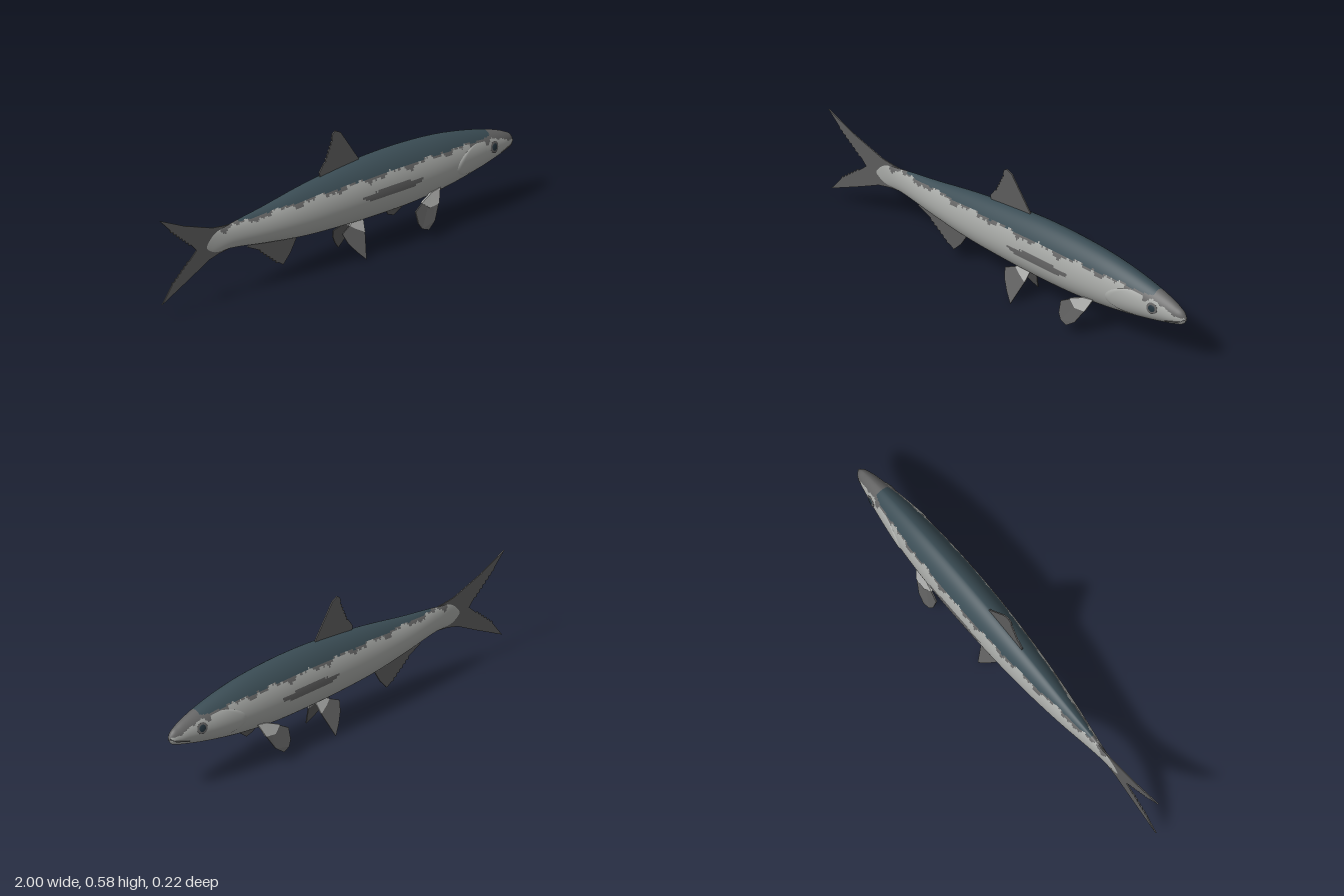
import * as THREE from 'three';

const mat = (name, color, side = THREE.FrontSide) => {
  const m = new THREE.MeshStandardMaterial({ color, side });
  m.name = name;
  return m;
};

// Body stations along x: back height, belly height, half width
const STATIONS = [
  [-0.74, 0.285, 0.25, 0.002], [-0.7, 0.318, 0.232, 0.005], [-0.6, 0.338, 0.227, 0.02],
  [-0.4, 0.363, 0.196, 0.05], [-0.2, 0.393, 0.168, 0.072], [0, 0.415, 0.154, 0.086],
  [0.2, 0.427, 0.147, 0.093], [0.4, 0.424, 0.147, 0.093], [0.6, 0.406, 0.163, 0.084],
  [0.8, 0.366, 0.195, 0.062], [0.9, 0.336, 0.217, 0.043], [0.95, 0.315, 0.23, 0.031],
  [0.985, 0.293, 0.245, 0.016], [1, 0.267, 0.267, 0],
];
const profile = new THREE.CubicInterpolant(
  STATIONS.map((s) => s[0]), STATIONS.flatMap((s) => s.slice(1)), 3, new Float32Array(3));

// Point on the body skin; angle 0 is the model's front flank, PI/2 the back ridge
function skin(x, a, puff = 0) {
  const [top, bottom, width] = profile.evaluate(x);
  const mid = bottom + 0.48 * (top - bottom);
  const s = Math.sin(a), c = Math.cos(a);
  const y = mid + s * (s > 0 ? top - mid : mid - bottom);
  const z = Math.sign(c) * Math.pow(Math.abs(c), 1.2) * (width + puff);
  return new THREE.Vector3(x, y, z);
}

// Skin point at a given height on the +z flank
function skinAt(x, y, puff = 0) {
  const [top, bottom] = profile.evaluate(x);
  const mid = bottom + 0.48 * (top - bottom);
  const s = (y - mid) / (y > mid ? top - mid : mid - bottom);
  return skin(x, Math.asin(THREE.MathUtils.clamp(s, -1, 1)), puff);
}

// Colour zones: 0 silver, 1 slate back, 2 grey mottling
function zone(x, y) {
  const n = 0.004 * Math.sin(31 * x) + 0.003 * Math.sin(83 * x + 1) + 0.002 * Math.sin(190 * x);
  const backLine = 0.361 - 0.075 * (x - 0.3) ** 2 * (x > 0.3 ? 1.2 : 0.45) + n * 0.5;
  if (x > 0.84) return y > 0.322 - (x - 0.84) * 0.3 + n || x > 0.992 ? 2 : 0;
  if (x > -0.56 && y > backLine) return 1;
  const band = x > 0.7 ? 0.025 : 0.009;
  if (x > -0.66 && y > backLine - band + n * 1.6) return 2;
  const t = (x - 0.245) / 0.17;
  if (Math.abs(t) < 1 && Math.abs(y - 0.281 - n * 0.5) < 0.02 * Math.sqrt(1 - t * t)) return 2;
  return 0;
}

function bodyGeometry() {
  const rings = 230, sides = 88, pos = [], faces = [[], [], []];
  for (let i = 0; i <= rings; i++) {
    const t = i / rings;
    const x = -0.74 + 1.74 * (t + 0.12 * t * (1 - t) + 0.03 * Math.sin(Math.PI * t));
    for (let j = 0; j < sides; j++) pos.push(...skin(Math.min(x, 1), (j / sides) * Math.PI * 2).toArray());
  }
  for (let i = 0; i < rings; i++) {
    for (let j = 0; j < sides; j++) {
      const k = (j + 1) % sides;
      const a = i * sides + j, b = a + sides, c = (i + 1) * sides + k, d = i * sides + k;
      const x = (pos[a * 3] + pos[c * 3]) / 2, y = (pos[a * 3 + 1] + pos[c * 3 + 1]) / 2;
      faces[zone(x, y)].push(a, b, c, a, c, d);
    }
  }
  const g = new THREE.BufferGeometry();
  g.setAttribute('position', new THREE.Float32BufferAttribute(pos, 3));
  g.setIndex(faces.flat());
  let start = 0;
  faces.forEach((f, m) => { g.addGroup(start, f.length, m); start += f.length; });
  g.computeVertexNormals();
  return g;
}

// Ragged trailing edge between two points
function ragged(a, b, n, depth = 0.008) {
  const out = [], dx = b[0] - a[0], dy = b[1] - a[1], l = Math.hypot(dx, dy);
  for (let i = 0; i <= n * 2; i++) {
    const t = i / (n * 2), d = i % 2 ? depth : 0;
    out.push([a[0] + dx * t - (dy / l) * d, a[1] + dy * t + (dx / l) * d]);
  }
  return out;
}

// Thin fin cut from an outline, bent sideways by lean(y)
function finGeometry(points, thick, lean = () => 0) {
  const shape = new THREE.Shape(points.map((p) => new THREE.Vector2(...p)));
  const g = new THREE.ExtrudeGeometry(shape, { depth: thick, bevelEnabled: false });
  const p = g.attributes.position;
  for (let i = 0; i < p.count; i++) p.setZ(i, p.getZ(i) - thick / 2 + lean(p.getY(i)));
  g.computeVertexNormals();
  return g;
}

// Raised gill cover following the flank, with a rounded rear edge
function gillGeometry() {
  const nu = 16, nv = 24, pos = [], idx = [];
  for (let i = 0; i <= nu; i++) {
    for (let j = 0; j <= nv; j++) {
      const s = (j / nv) * 2 - 1, u = i / nu;
      const rear = 0.61 + 0.13 * s * s;
      const x = THREE.MathUtils.lerp(rear, 0.8, u);
      const puff = 0.005 * Math.min(1, u * 10) * (1 - u) * (1 - s ** 4) - (i === 0 ? 0.002 : 0);
      pos.push(...skin(x, -0.15 + s * 0.75, puff).toArray());
    }
  }
  for (let i = 0; i < nu; i++) for (let j = 0; j < nv; j++) {
    const a = i * (nv + 1) + j, b = a + nv + 1;
    idx.push(a, b, b + 1, a, b + 1, a + 1);
  }
  const g = new THREE.BufferGeometry();
  g.setAttribute('position', new THREE.Float32BufferAttribute(pos, 3));
  g.setIndex(idx);
  g.computeVertexNormals();
  return g;
}

export function createModel() {
  const silver = mat('silver skin', 0xa6a8a5);
  const slate = mat('slate back', 0x3a4c54);
  const grey = mat('grey mottling', 0x646464);
  const fin = mat('fin grey', 0x5c5c5c, THREE.DoubleSide);
  const pale = mat('pale fin base', 0xa9aaa8, THREE.DoubleSide);
  const dark = mat('eye dark', 0x25343d);
  const model = new THREE.Group();
  const add = (name, geometry, material, parent = model) => {
    const m = new THREE.Mesh(geometry, material);
    m.name = name;
    parent.add(m);
    return m;
  };

  add('body', bodyGeometry(), [silver, slate, grey]);

  // Fins on the centre line
  add('tailFin', finGeometry([
    [-0.58, 0.335], [-0.58, 0.23], [-0.66, 0.222], [-0.72, 0.208], [-0.82, 0.158], [-0.985, 0.08],
    ...ragged([-0.93, 0.15], [-0.83, 0.235], 6), [-0.79, 0.272],
    ...ragged([-0.82, 0.305], [-0.94, 0.405], 7), [-1, 0.465],
    [-0.86, 0.402], [-0.7, 0.348], [-0.64, 0.34]], 0.005), fin);
  add('dorsalFin', finGeometry([
    [0.13, 0.4], [0.125, 0.43], [0.07, 0.51], [0.025, 0.575], [-0.005, 0.59], [-0.02, 0.58],
    ...ragged([-0.025, 0.56], [-0.07, 0.46], 6), [-0.095, 0.425], [-0.09, 0.39]], 0.006), fin);
  add('analFin', finGeometry([
    [-0.22, 0.19], [-0.225, 0.168], [-0.26, 0.11], [-0.3, 0.068],
    ...ragged([-0.325, 0.085], [-0.43, 0.17], 6), [-0.5, 0.203], [-0.48, 0.225]], 0.006), fin);

  // Paired parts, built on the +z flank and mirrored
  const pelvicLean = (y) => 0.09 - 0.5 * y;
  const pectoralLean = (y) => 0.126 - 0.33 * y + 0.05 * Math.sin((y - 0.05) * 20) * 0.1;
  const eyeAt = skinAt(0.85, 0.288);
  const out = new THREE.Vector3().crossVectors(
    skinAt(0.86, 0.288).sub(skinAt(0.84, 0.288)), skinAt(0.85, 0.296).sub(skinAt(0.85, 0.28))).normalize();

  const pair = new THREE.Group();
  pair.name = 'flankParts';
  add('pelvicFin', finGeometry([
    [0.14, 0.16], [0.127, 0.1], [0.092, 0.006], [0.055, 0.045], [0.025, 0.085], [0.01, 0.125],
    [0.06, 0.145], [0.09, 0.16]], 0.005, pelvicLean), fin, pair);
  add('pelvicFinBase', finGeometry([
    [0.142, 0.162], [0.129, 0.105], [0.085, 0.128], [0.06, 0.146], [0.09, 0.162]], 0.008, pelvicLean), pale, pair);
  add('pectoralFin', finGeometry([
    [0.53, 0.198], [0.505, 0.145], [0.465, 0.08], [0.425, 0.052], [0.39, 0.065], [0.375, 0.09],
    [0.372, 0.14], [0.42, 0.165], [0.48, 0.19]], 0.006, pectoralLean), fin, pair);
  add('pectoralFinBase', finGeometry([
    [0.532, 0.2], [0.505, 0.142], [0.45, 0.138], [0.415, 0.166], [0.48, 0.192]], 0.009, pectoralLean), pale, pair);
  add('gillCover', gillGeometry(), silver, pair);

  // Eye: grey rim with a dark lens
  for (const [name, r, flat, m] of [['eyeRim', 0.026, 0.1, grey], ['eyeLens', 0.018, 0.25, dark]]) {
    const eye = add(name, new THREE.SphereGeometry(r, 24, 16), m, pair);
    eye.scale.z = flat;
    eye.position.copy(eyeAt);
    eye.quaternion.setFromUnitVectors(new THREE.Vector3(0, 0, 1), out);
  }

  // Mouth line
  const mouth = [[0.994, 0.268], [0.97, 0.256], [0.94, 0.25], [0.905, 0.24]].map(([x, y]) => skinAt(x, y));
  add('mouthLine', new THREE.TubeGeometry(new THREE.CatmullRomCurve3(mouth), 20, 0.0028, 6), grey, pair);
  model.add(pair);

  // Mirror with reversed corners so faces still point outward
  const mirror = new THREE.Group();
  mirror.name = 'flankPartsMirrored';
  mirror.add(...pair.clone().children);
  mirror.scale.z = -1;
  model.add(mirror);
  return model;
}
